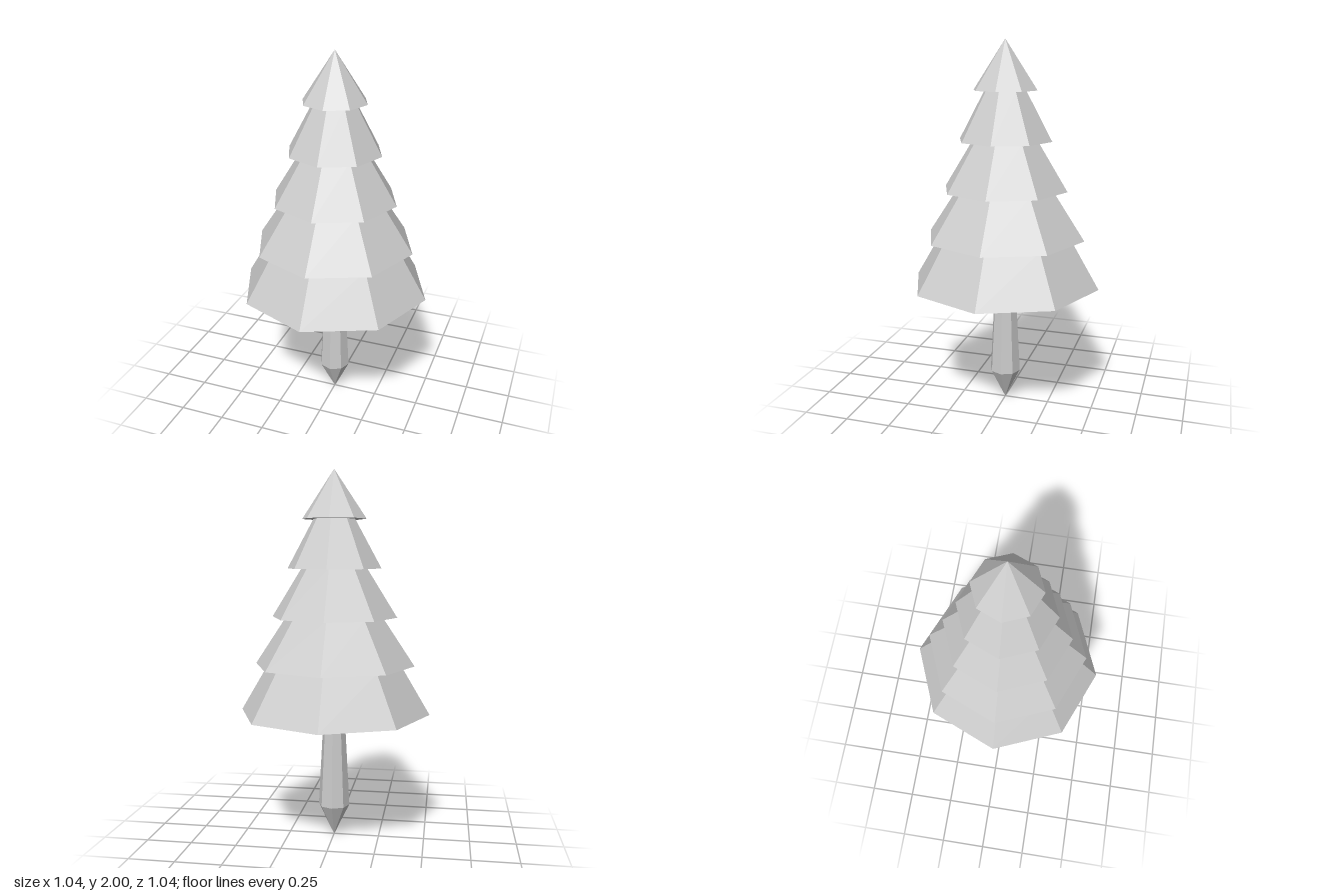
import * as THREE from 'three';

const SIDES = 8;

export function createModel() {
  const tree = new THREE.Group();
  tree.name = 'pineTree';
  const material = new THREE.MeshStandardMaterial({ color: 0xcccccc, flatShading: true });

  // Eight-sided frustum standing between two heights
  function addFrustum(parent, name, rBottom, rTop, y0, y1, open = false) {
    const geometry = new THREE.CylinderGeometry(rTop, rBottom, y1 - y0, SIDES, 1, open);
    const mesh = new THREE.Mesh(geometry, material);
    mesh.name = name;
    mesh.position.y = (y0 + y1) / 2;
    parent.add(mesh);
  }

  // Trunk: tapered shaft on a pointed root
  const trunk = new THREE.Group();
  trunk.name = 'trunk';
  addFrustum(trunk, 'trunkPoint', 0, 0.086, 0, 0.175, true);
  addFrustum(trunk, 'trunkShaft', 0.086, 0.058, 0.175, 0.7, true);
  tree.add(trunk);

  // Foliage: overhanging tiers, [base radius, top radius, base height]
  const tiers = [
    [0.52, 0.365, 0.7],
    [0.436, 0.263, 0.962],
    [0.34, 0.178, 1.222],
    [0.254, 0.112, 1.482],
    [0.173, 0, 1.742],
  ];
  const foliage = new THREE.Group();
  foliage.name = 'foliage';
  tiers.forEach(([rBottom, rTop, y], i) => {
    const yTop = i + 1 < tiers.length ? tiers[i + 1][2] : 2;
    addFrustum(foliage, `foliageTier${i + 1}`, rBottom, rTop, y, yTop);
  });
  tree.add(foliage);

  return tree;
}
